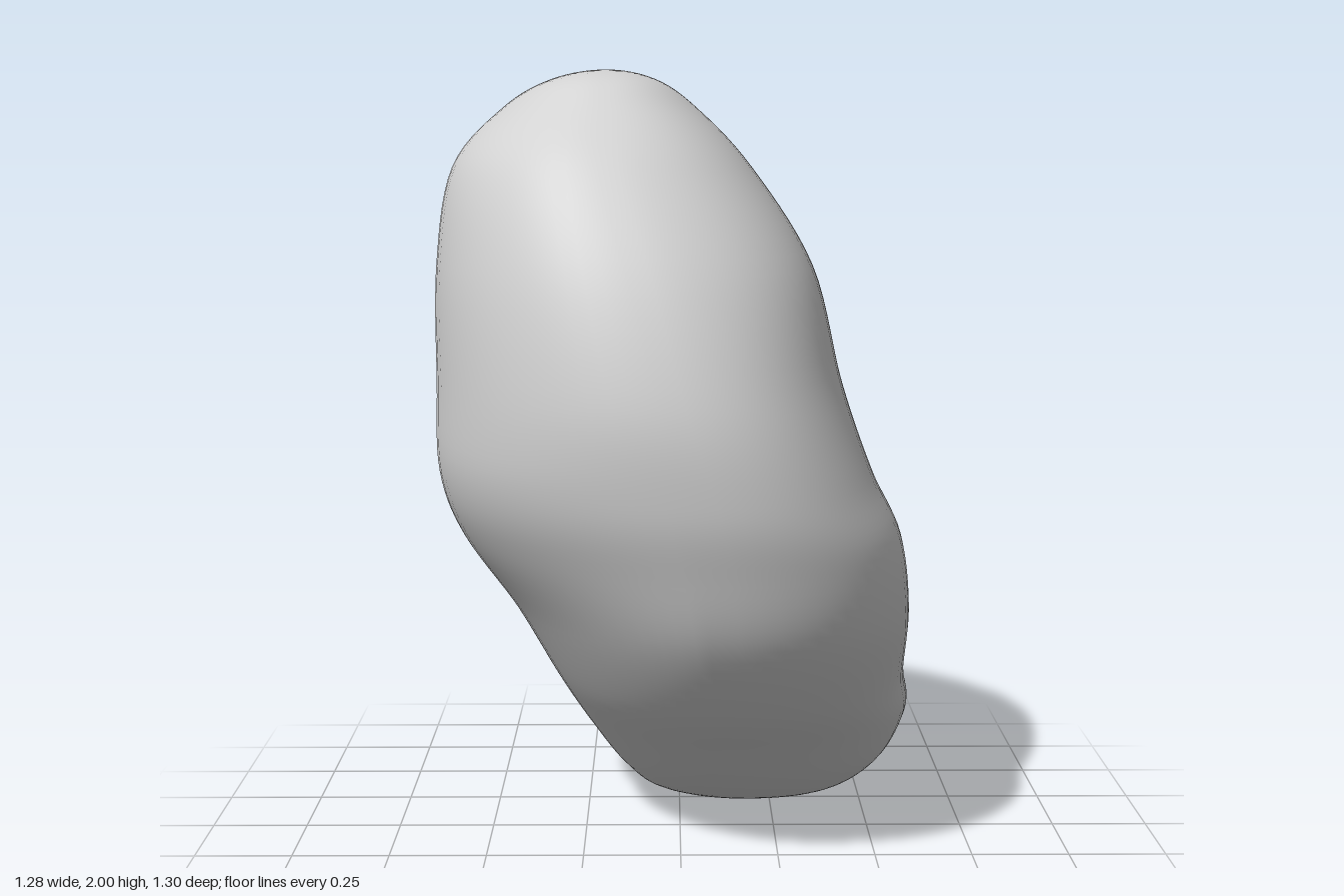
import * as THREE from 'three';
import { mergeVertices } from 'three/addons/utils/BufferGeometryUtils.js';

// Cross-sections from bottom to top:
// y, min x, max x, min z, max z, z of the min-x point, z of the max-x point, x of the back point, x of the front point
const SECTIONS = [
  [0, 0.2, 0.2, -0.3, -0.3, -0.3, -0.3, 0.2, 0.2],
  [0.035, -0.05, 0.43, -0.46, -0.12, -0.27, -0.32, 0.24, 0.16],
  [0.12, -0.155, 0.57, -0.56, 0.04, -0.23, -0.4, 0.3, 0.12],
  [0.26, -0.25, 0.64, -0.63, 0.22, -0.18, -0.45, 0.36, 0.1],
  [0.4, -0.33, 0.615, -0.65, 0.39, -0.13, -0.3, 0.34, 0.09],
  [0.6, -0.44, 0.61, -0.65, 0.54, -0.1, -0.14, 0.25, 0.07],
  [0.8, -0.575, 0.58, -0.635, 0.61, -0.08, -0.08, 0.13, 0.05],
  [0.97, -0.635, 0.5, -0.62, 0.645, -0.1, -0.03, -0.06, 0.02],
  [1.2, -0.64, 0.42, -0.635, 0.64, -0.13, -0.05, -0.29, -0.05],
  [1.5, -0.64, 0.345, -0.65, 0.55, -0.17, -0.09, -0.37, -0.13],
  [1.75, -0.6, 0.19, -0.62, 0.4, -0.22, -0.13, -0.36, -0.2],
  [1.9, -0.47, 0.05, -0.53, 0.24, -0.23, -0.15, -0.33, -0.2],
  [1.975, -0.34, -0.06, -0.4, 0.11, -0.2, -0.14, -0.28, -0.2],
  [2, -0.19, -0.19, -0.12, -0.12, -0.12, -0.12, -0.19, -0.19],
];

// Soft hollows: centre, radii, push
const HOLLOWS = [
  { at: [0.03, 1.45, -0.48], size: [0.28, 0.45, 0.26], push: [-0.07, 0, 0.09] }, // groove beside the back ridge
  { at: [0.53, 0.49, -0.5], size: [0.22, 0.13, 0.2], push: [-0.025, 0, 0.025] }, // waist above the foot
];

// Smooth interpolation between sections, mirrored past the ends so they close as domes
function sectionAt(t) {
  const last = SECTIONS.length - 1;
  const i = Math.min(Math.floor(t), last - 1);
  const f = t - i;
  const get = (k, c) => {
    if (k >= 0 && k <= last) return SECTIONS[k][c];
    const end = SECTIONS[k < 0 ? 0 : last];
    const inner = SECTIONS[k < 0 ? 1 : last - 1];
    return c === 0 ? inner[0] : 2 * end[c] - inner[c];
  };
  return SECTIONS[0].map((_, c) => {
    const a = get(i - 1, c), b = get(i, c), d = get(i + 1, c), e = get(i + 2, c);
    return b + 0.5 * f * (d - a + f * (2 * a - 5 * b + 4 * d - e + f * (3 * (b - d) + e - a)));
  });
}

// Fullness of a quarter at a height: below 1 is square, above 1 is slack
function quarterPower(c, s, y) {
  if (s < 0) return c < 0 ? 0.84 : 0.8 + 0.46 * THREE.MathUtils.smoothstep(y, 0.2, 1.45);
  return c < 0 ? 1.12 - 0.18 * THREE.MathUtils.smoothstep(y, 0.6, 1.05) : 0.83;
}

// Point of a section built from four rounded quarters
function sectionPoint([y, xl, xr, zb, zf, zl, zr, xb, xf], angle) {
  const c = Math.cos(angle), s = Math.sin(angle);
  const power = quarterPower(c, s, y);
  const u = Math.abs(c) ** power, v = Math.abs(s) ** power;
  const xMid = s < 0 ? xb : xf, zMid = c < 0 ? zl : zr;
  const p = [
    xMid + ((c < 0 ? xl : xr) - xMid) * u,
    y,
    zMid + ((s < 0 ? zb : zf) - zMid) * v,
  ];
  const shift = [0, 0, 0];
  for (const { at, size, push } of HOLLOWS) {
    const d = at.reduce((sum, q, k) => sum + ((p[k] - q) / size[k]) ** 2, 0);
    push.forEach((q, k) => { shift[k] += q * Math.exp(-d); });
  }
  return p.map((q, k) => q + shift[k]);
}

function bodyGeometry(rings = 91, sides = 72) {
  const positions = [], index = [];
  for (let j = 0; j <= rings; j++) {
    const section = sectionAt((j / rings) * (SECTIONS.length - 1));
    for (let i = 0; i < sides; i++) {
      positions.push(...sectionPoint(section, (i / sides) * Math.PI * 2));
      if (j === rings) continue;
      const a = j * sides + i, b = j * sides + (i + 1) % sides;
      if (j < rings - 1) index.push(a, a + sides, b + sides);
      if (j > 0) index.push(a, b + sides, b);
    }
  }
  const geometry = new THREE.BufferGeometry();
  geometry.setAttribute('position', new THREE.Float32BufferAttribute(positions, 3));
  geometry.setIndex(index);
  const merged = mergeVertices(geometry, 1e-5);
  merged.computeVertexNormals();
  return merged;
}

export function createModel() {
  const group = new THREE.Group();
  group.name = 'lobedForm';
  const material = new THREE.MeshStandardMaterial({ color: 0xd2d2d2 });
  material.name = 'lightGrey';
  const body = new THREE.Mesh(bodyGeometry(), material);
  body.name = 'body';
  group.add(body);
  return group;
}
